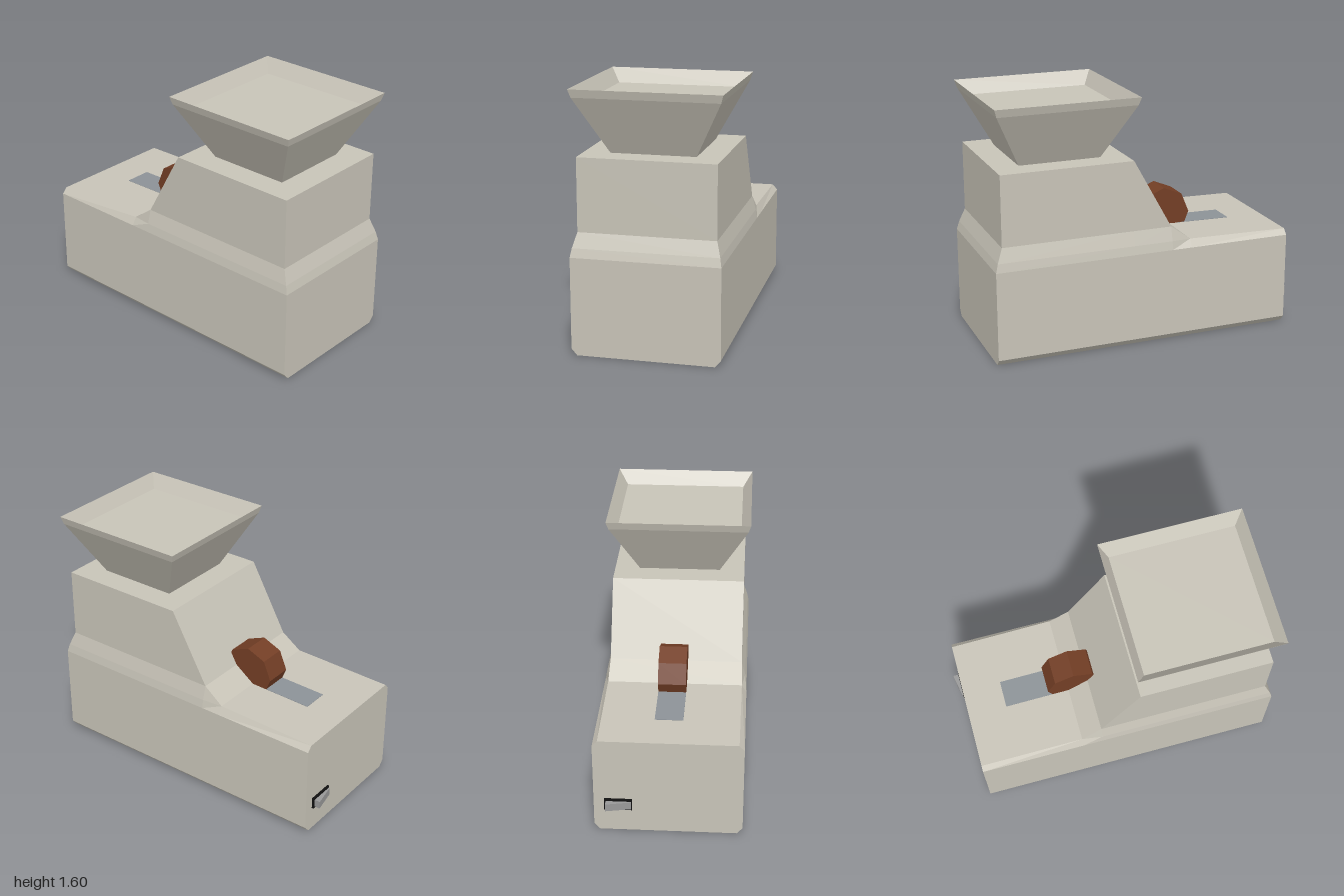
import * as THREE from 'three';

const shell = new THREE.MeshStandardMaterial({ color: 0xc8c4b8, flatShading: true });
const brown = new THREE.MeshStandardMaterial({ color: 0x733e25, flatShading: true });
const slate = new THREE.MeshStandardMaterial({ color: 0x8c9297, flatShading: true });
const black = new THREE.MeshStandardMaterial({ color: 0x111111, flatShading: true });
const grey = new THREE.MeshStandardMaterial({ color: 0x999999, flatShading: true });

// Skin a row of matching rings and close both ends; flat faces.
function loft(rings) {
  const pos = [];
  const tri = (a, b, c) => {
    const area = b.clone().sub(a).cross(c.clone().sub(a)).length();
    if (area > 1e-7) for (const p of [a, b, c]) pos.push(p.x, p.y, p.z);
  };
  const n = rings[0].length;
  for (let r = 0; r + 1 < rings.length; r++) {
    for (let i = 0; i < n; i++) {
      const j = (i + 1) % n, A = rings[r], B = rings[r + 1];
      tri(A[i], B[i], B[j]);
      tri(A[i], B[j], A[j]);
    }
  }
  const first = rings[0], last = rings[rings.length - 1];
  for (let i = 1; i + 1 < n; i++) {
    tri(first[0], first[i], first[i + 1]);
    tri(last[0], last[i + 1], last[i]);
  }
  const g = new THREE.BufferGeometry();
  g.setAttribute('position', new THREE.Float32BufferAttribute(pos, 3));
  g.computeVertexNormals();
  return g;
}

// Mirrored body section at x: chamfered base, then shoulder, flare and top as [z, y].
function section(x, shoulder, flare, top) {
  const half = [[0.42, 0], [0.455, 0.04], [0.455, 0.605], shoulder, flare, top];
  const left = half.map(([z, y]) => new THREE.Vector3(x, y, z));
  const right = half.map(([z, y]) => new THREE.Vector3(x, y, -z)).reverse();
  return [...left, ...right];
}

function rectRing(y, x0, x1, z) {
  return [[x0, -z], [x1, -z], [x1, z], [x0, z]].map(([x, zz]) => new THREE.Vector3(x, y, zz));
}

export function createModel() {
  const model = new THREE.Group();
  const add = (name, geometry, material) => {
    const mesh = new THREE.Mesh(geometry, material);
    mesh.name = name;
    model.add(mesh);
    return mesh;
  };

  // Body: low deck, sloped face, tall housing and flared rear end
  const deckA = [0.423, 0.64], deckB = [0.425, 0.655];
  const mid = [0.445, 0.66], waist = [0.42, 0.75], roof = [0.42, 1.2], belt = [0.455, 0.605];
  add('body', loft([
    section(-0.95, deckA, deckA, deckA),
    section(-0.28, deckB, deckB, deckB),
    section(-0.15, mid, waist, waist),
    section(0.1, mid, waist, roof),
    section(0.95, mid, waist, roof),
    section(0.95, mid, waist, waist),
    section(0.985, mid, mid, mid),
    section(1, belt, belt, belt),
  ]), shell);

  // Hopper: flared tray with a shallow recessed top
  add('hopper', loft([
    rectRing(1.2, 0.26, 0.785, 0.26),
    rectRing(1.55, 0.08, 0.965, 0.44),
    rectRing(1.6, 0.065, 0.98, 0.455),
    rectRing(1.51, 0.12, 0.925, 0.395),
  ]), shell);

  // Eight-sided adjusting wheel
  const wheel = add('wheel', new THREE.CylinderGeometry(0.175, 0.175, 0.175, 8), brown);
  wheel.rotation.x = Math.PI / 2;
  wheel.position.set(-0.24, 0.725, -0.01);

  // Slot plate lying on the sloping deck
  const slot = add('slotPlate', new THREE.BoxGeometry(0.36, 0.01, 0.175), slate);
  slot.position.set(-0.52, 0.647, -0.01);
  slot.rotation.z = Math.atan2(0.015, 0.67);

  // Power switch: frame and wedge-shaped rocker
  const frame = add('switchFrame', new THREE.BoxGeometry(0.02, 0.075, 0.17), black);
  frame.position.set(-0.953, 0.193, -0.305);

  const wedge = new THREE.Shape([
    new THREE.Vector2(-0.95, 0.225),
    new THREE.Vector2(-0.95, 0.38),
    new THREE.Vector2(-1, 0.38),
    new THREE.Vector2(-0.97, 0.225),
  ]);
  const rocker = add('switchRocker',
    new THREE.ExtrudeGeometry(wedge, { depth: 0.05, bevelEnabled: false }), grey);
  rocker.rotation.x = -Math.PI / 2;
  rocker.position.y = 0.168;

  return model;
}
